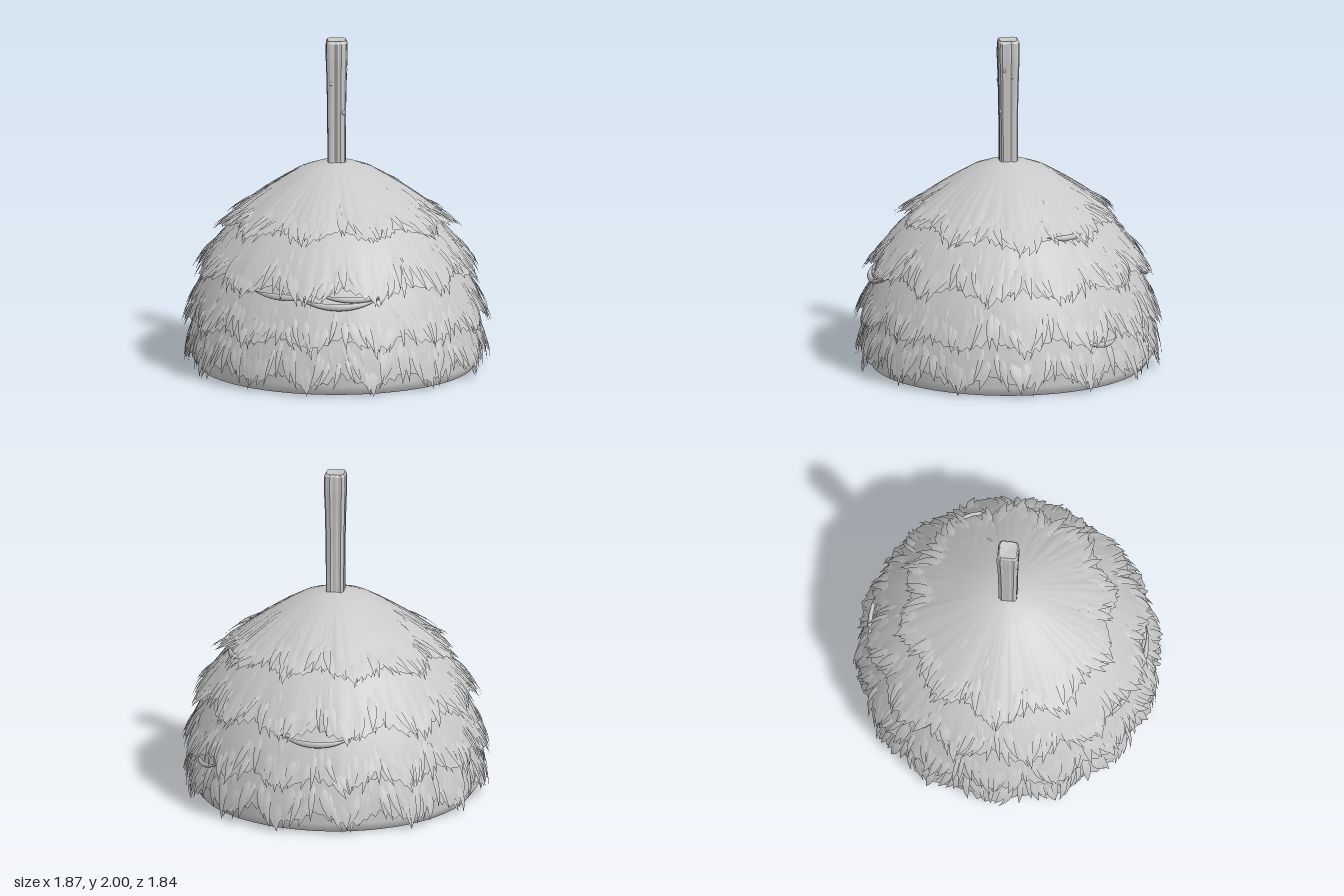
import * as THREE from 'three';
import { mergeGeometries, mergeVertices } from 'three/addons/utils/BufferGeometryUtils.js';

// Seeded random numbers
function seeded(seed) {
  return () => {
    seed = (seed * 1664525 + 1013904223) % 4294967296;
    return seed / 4294967296;
  };
}

// Surface from fn(u, v): u runs left to right, v runs downwards
function grid(cols, rows, fn) {
  const pos = [], idx = [];
  for (let j = 0; j <= rows; j++)
    for (let i = 0; i <= cols; i++) pos.push(...fn(i / cols, j / rows));
  for (let j = 0; j < rows; j++)
    for (let i = 0; i < cols; i++) {
      const a = j * (cols + 1) + i, c = a + cols + 1;
      idx.push(a, c, a + 1, a + 1, c, c + 1);
    }
  let g = new THREE.BufferGeometry();
  g.setAttribute('position', new THREE.Float32BufferAttribute(pos, 3));
  g.setIndex(idx);
  g = mergeVertices(g, 1e-5);
  g.computeVertexNormals();
  return g;
}

// Thatch tiers, top to bottom: [radius, height] profile, k clumps, hem drop,
// and lift, which shortens the hem at the front and back
const tiers = [
  { name: 'topThatch', k: 10, blades: 100, seed: 11, drop: 0.08, lift: 0.06,
    profile: [[0.02, 1.258], [0.08, 1.25], [0.2, 1.215], [0.36, 1.12], [0.52, 1.005], [0.66, 0.885]] },
  { name: 'upperThatch', k: 12, blades: 115, seed: 23, drop: 0.07, lift: 0,
    profile: [[0.5, 0.99], [0.645, 0.85], [0.75, 0.72], [0.815, 0.615]] },
  { name: 'middleThatch', k: 14, blades: 125, seed: 37, drop: 0.07, lift: 0,
    profile: [[0.735, 0.66], [0.81, 0.52], [0.855, 0.41], [0.885, 0.325]] },
  { name: 'lowerThatch', k: 14, blades: 125, seed: 51, drop: 0.07, lift: 0,
    profile: [[0.825, 0.36], [0.858, 0.25], [0.876, 0.16], [0.884, 0.1]] },
];

function createTier(tier, material) {
  const rand = seeded(tier.seed);
  const curve = new THREE.CatmullRomCurve3(tier.profile.map(([r, y]) => new THREE.Vector3(r, y, 0)));
  const length = curve.getLength();
  const end = curve.getPointAt(1), tangent = curve.getTangentAt(1);
  // Point at distance s along the slope, carried on straight past the hem, lifted outwards
  const point = (s, a, lift = 0) => {
    const t = s / length;
    const p = t <= 1 ? curve.getPointAt(Math.max(t, 0)) : end.clone().addScaledVector(tangent, s - length);
    const d = t <= 1 ? curve.getTangentAt(Math.max(t, 0)) : tangent;
    const r = p.x - d.y * lift;
    return [r * Math.sin(a), Math.max(0.006, p.y + d.x * lift), r * Math.cos(a)];
  };
  // Scalloped clumps: parted at the edges, longest in the middle
  const arch = (a) => Math.abs(Math.sin(a * tier.k / 2));
  const hem = (a) => tier.drop * (arch(a) - 0.6) - tier.lift * Math.cos(a) ** 2;
  const cols = 192;
  const teeth = Array.from({ length: cols }, (_, i) => (i % 2 ? 0.03 : -0.015) * rand());
  const folds = Array.from({ length: cols }, () => (rand() - 0.5) * 0.014);
  const skirt = grid(cols, 7, (u, v) => {
    const i = Math.round(u * cols) % cols, a = (i / cols) * Math.PI * 2;
    const reach = length + (hem(a) + teeth[i]) * v;
    return point(reach * v, a, (folds[i] + 0.016 * arch(a)) * v * v);
  });
  // Pointed straw blades: a ridged strip that bends sideways and outwards towards its tip
  const straw = [];
  const blade = (a0, s0, s1, width, sway, rise) => straw.push(grid(2, 5, (u, v) => {
    const s = s0 + (s1 - s0) * v, side = u * 2 - 1;
    const w = width * (0.3 + 0.7 * Math.sin(Math.PI * (v * 0.8 + 0.1))) * (1 - v ** 3);
    const r = Math.max(0.12, Math.hypot(...[0, 2].map((n) => point(s, 0)[n])));
    const a = a0 + (side * w + sway * v * v) / r;
    return point(s, a, -0.008 + rise * Math.sin(v * 1.9) + (side ? 0 : 0.008 * (1 - v)));
  }));
  for (let i = 0; i < tier.blades; i++) {
    const a = ((i + rand() * 0.8) / tier.blades) * Math.PI * 2;
    const s1 = length + hem(a) + 0.015 + rand() * 0.07;
    const sway = Math.sin(a * tier.k) * 0.06 + (rand() - 0.5) * 0.05;
    blade(a, s1 - 0.16 - rand() * 0.1, s1, 0.014 + rand() * 0.018, sway, 0.02 + rand() * 0.022);
  }
  // Loose blades higher on the slope
  for (let i = 0; i < tier.blades / 3; i++) {
    const s1 = length * (0.6 + rand() * 0.35);
    blade(rand() * Math.PI * 2, s1 - 0.15, s1, 0.014, (rand() - 0.5) * 0.08, 0.016);
  }
  const group = new THREE.Group();
  group.name = tier.name;
  const shell = new THREE.Mesh(skirt, material);
  shell.name = tier.name + 'Skirt';
  const blades = new THREE.Mesh(mergeGeometries(straw), material);
  blades.name = tier.name + 'Blades';
  group.add(shell, blades);
  return group;
}

// Rough squared post, slightly flared to the top, with bark grooves
function createPost(material) {
  const rows = [[0, 1.993], [0.057, 2], [0.066, 1.985], [0.068, 1.9], [0.063, 1.78], [0.059, 1.6], [0.057, 1.4], [0.057, 1.18]];
  const rand = seeded(5);
  const grooves = Array.from({ length: 32 }, () => 1 - rand() * 0.12);
  const geometry = grid(32, rows.length - 1, (u, v) => {
    const [half, y] = rows[Math.round(v * (rows.length - 1))];
    const i = Math.round(u * 32) % 32, a = (i / 32) * Math.PI * 2;
    const s = Math.sin(a), c = Math.cos(a);
    const r = half * grooves[i] / Math.pow(s ** 6 + c ** 6, 1 / 6);
    return [r * s, y, r * c];
  }).toNonIndexed();
  geometry.computeVertexNormals();
  const post = new THREE.Mesh(geometry, material);
  post.name = 'post';
  // Small knots in the bark
  const knots = [[0.055, 1.82, 0.03], [-0.035, 1.74, 0.055], [0.04, 1.56, 0.05], [0.055, 1.78, -0.02]].map(([x, y, z]) =>
    new THREE.SphereGeometry(0.011, 8, 6).scale(1, 1.4, 1).translate(x, y, z));
  const knotMesh = new THREE.Mesh(mergeGeometries(knots), material);
  knotMesh.name = 'knots';
  post.add(knotMesh);
  return post;
}

// Loose straw lying across a tier, tapered at both ends and sagging in the middle
function createStrand(name, angle, span, radius, y, sag, thick, material) {
  const points = [-1, -0.5, 0, 0.5, 1].map((t) => {
    const a = angle + t * span, r = radius - 0.03 * t * t;
    return new THREE.Vector3(r * Math.sin(a), y + sag * t * t, r * Math.cos(a));
  });
  const curve = new THREE.CatmullRomCurve3(points);
  const geometry = grid(8, 16, (u, v) => {
    const p = curve.getPoint(v), w = thick * Math.sin(Math.PI * v);
    const a = -u * Math.PI * 2, out = Math.hypot(p.x, p.z);
    const k = 1 + (Math.cos(a) * w * 0.7) / out;
    return [p.x * k, p.y + Math.sin(a) * w, p.z * k];
  });
  const strand = new THREE.Mesh(geometry, material);
  strand.name = name;
  return strand;
}

export function createModel() {
  const model = new THREE.Group();
  model.name = 'thatchedRoof';
  const straw = new THREE.MeshStandardMaterial({ color: 0xc8c8c8, side: THREE.DoubleSide });
  straw.name = 'paleGrey';

  // Closed core with a flat floor and a small socket in its centre
  const floorProfile = [[0, 0.05], [0.042, 0], [0.825, 0]];
  const wallProfile = [[0.825, 0], [0.868, 0.06], [0.835, 0.3], [0.76, 0.58], [0.59, 0.86], [0.3, 1.12], [0, 1.2]];
  [['floor', floorProfile], ['core', wallProfile]].forEach(([name, profile]) => {
    const mesh = new THREE.Mesh(
      new THREE.LatheGeometry(profile.map(([r, y]) => new THREE.Vector2(r, y)), 64), straw);
    mesh.name = name;
    model.add(mesh);
  });

  tiers.forEach((tier) => model.add(createTier(tier, straw)));
  model.add(createPost(straw));

  // Loose strands: [name, angle, half span, radius, height, sag, thickness]
  [
    ['frontStrand', -0.02, 0.31, 0.835, 0.54, 0.035, 0.022],
    ['frontUpperStrand', 0.1, 0.3, 0.82, 0.58, 0.03, 0.018],
    ['frontRightStrand', -0.45, 0.26, 0.825, 0.585, 0.01, 0.02],
    ['backStrand', Math.PI, 0.28, 0.835, 0.55, 0.035, 0.02],
    ['upperLeftStrand', 2.05, 0.22, 0.66, 0.91, 0.008, 0.02],
    ['lowerLeftStrand', 2.17, 0.15, 0.89, 0.28, 0.02, 0.018],
  ].forEach((values) => model.add(createStrand(...values, straw)));
  return model;
}
